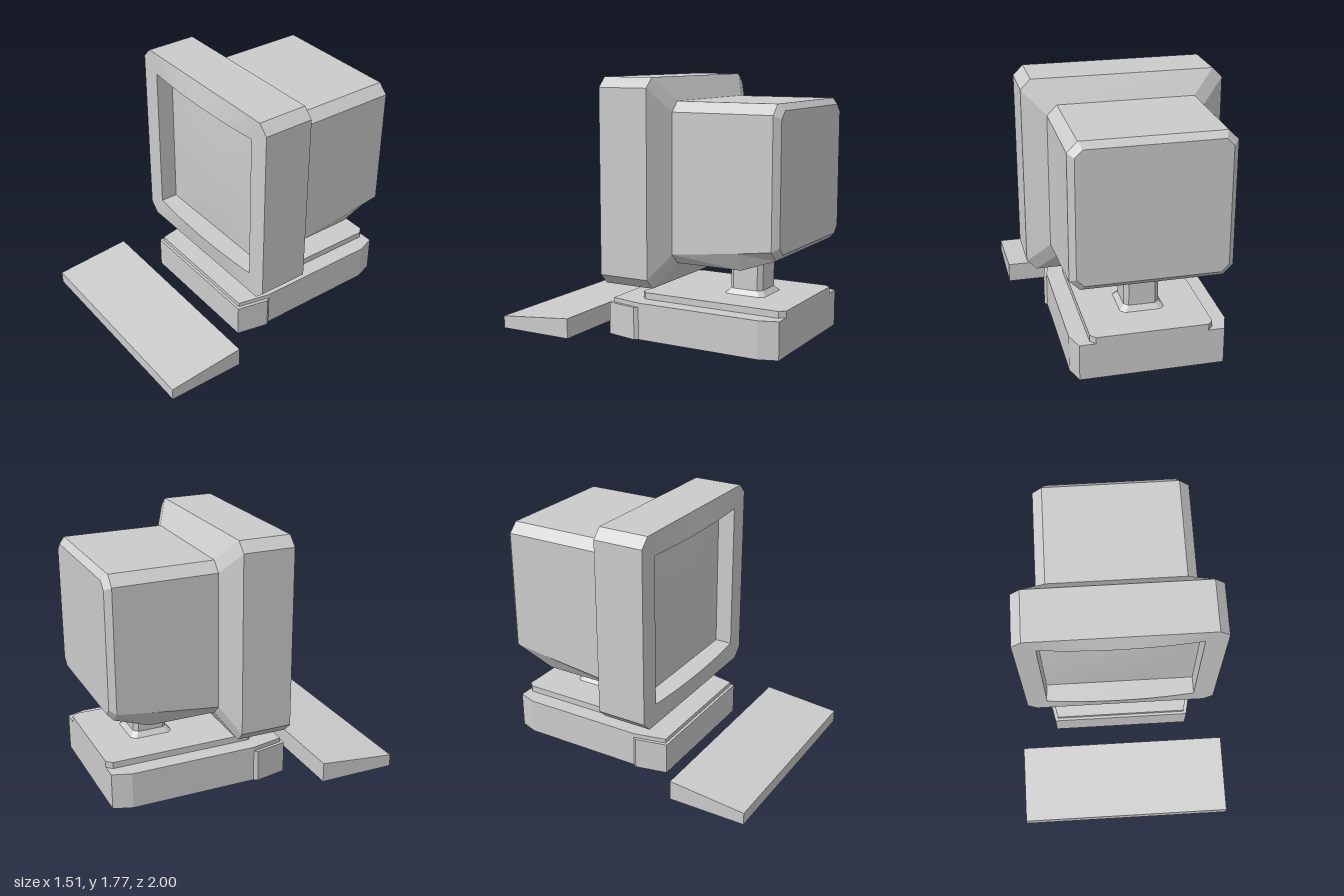
import * as THREE from 'three';

const material = new THREE.MeshStandardMaterial({ color: 0xcccccc });

function addMesh(parent, name, geometry) {
  const mesh = new THREE.Mesh(geometry, material);
  mesh.name = name;
  parent.add(mesh);
  return mesh;
}

// Octagonal section: half width x, from y0 to y1, top cut c, bottom cut cb
function octagon(x, y0, y1, c, z, cb = c) {
  return [
    [x, y0 + cb], [x, y1 - c], [x - c, y1], [c - x, y1],
    [-x, y1 - c], [-x, y0 + cb], [c - x, y0], [x - c, y0],
  ].map(([px, py]) => new THREE.Vector3(px, py, z));
}

// Skin over rings listed from front to back, counter-clockwise seen from the front
function loft(rings, { capStart = false, capEnd = false, smooth = false } = {}) {
  const n = rings[0].length;
  const index = [];
  for (let r = 0; r < rings.length - 1; r++) {
    for (let i = 0; i < n; i++) {
      const j = (i + 1) % n;
      const a = r * n + i, b = r * n + j, c = b + n, d = a + n;
      index.push(a, d, b, b, d, c);
    }
  }
  const last = (rings.length - 1) * n;
  for (let i = 1; i < n - 1; i++) {
    if (capStart) index.push(0, i, i + 1);
    if (capEnd) index.push(last, last + i + 1, last + i);
  }
  let geometry = new THREE.BufferGeometry().setFromPoints(rings.flat());
  geometry.setIndex(index);
  if (!smooth) geometry = geometry.toNonIndexed();
  geometry.computeVertexNormals();
  return geometry;
}

// Split the four long sides of an octagon into short steps
function subdivide(ring, steps = 16) {
  const points = [];
  for (let side = 0; side < 8; side += 2) {
    for (let i = 0; i <= steps; i++) {
      points.push(ring[side].clone().lerp(ring[side + 1], i / steps));
    }
  }
  return points;
}

// Upright slab from half of a plan outline given as [x, z], mirrored in x
function slab(half, y0, y1) {
  const mirrored = half.map(([x, z]) => [-x, z]).reverse();
  const shape = new THREE.Shape([...half, ...mirrored].map(([x, z]) => new THREE.Vector2(x, -z)));
  const geometry = new THREE.ExtrudeGeometry(shape, { depth: y1 - y0, bevelEnabled: false });
  return geometry.rotateX(-Math.PI / 2).translate(0, y0, 0);
}

function createMonitor() {
  const monitor = new THREE.Group();
  monitor.name = 'monitor';

  // Housing: deep front frame, taper, rear box with a rising underside
  addMesh(monitor, 'monitorHousing', loft([
    octagon(0.69, 0.395, 1.775, 0.068, 0.21),
    octagon(0.69, 0.395, 1.775, 0.068, -0.15),
    octagon(0.535, 0.55, 1.62, 0.068, -0.25),
    octagon(0.535, 0.55, 1.62, 0.068, -0.72, 0.121),
    octagon(0.535, 0.635, 1.62, 0.068, -0.96),
    octagon(0.495, 0.675, 1.578, 0.05, -1.0),
  ], { capEnd: true }));

  // Bezel: top and bottom lips bow forward in the middle
  const outer = subdivide(octagon(0.69, 0.395, 1.775, 0.068, 0.21));
  const inner = subdivide(octagon(0.54, 0.55, 1.62, 0, 0.21));
  inner.forEach((p) => { p.z += 0.025 * (1 - (p.x / 0.54) ** 2); });
  addMesh(monitor, 'bezel', loft([inner, outer], { smooth: true }));

  // Recess walls running back to the screen
  const deep = inner.map((p) => new THREE.Vector3(p.x, p.y, 0.085));
  addMesh(monitor, 'screenRecess', loft([deep, inner]));

  // Screen: gently domed
  const screen = new THREE.PlaneGeometry(1.08, 1.07, 16, 16);
  const pos = screen.attributes.position;
  for (let i = 0; i < pos.count; i++) {
    const u = pos.getX(i) / 0.54, v = pos.getY(i) / 0.535;
    pos.setZ(i, 0.02 * (1 - u * u) * (1 - v * v));
  }
  screen.computeVertexNormals();
  addMesh(monitor, 'screen', screen.translate(0, 1.085, 0.085));
  return monitor;
}

function createBase() {
  const base = new THREE.Group();
  base.name = 'base';
  addMesh(base, 'baseBody', slab(
    [[0.48, 0.25], [0.53, 0.02], [0.53, -0.87], [0.485, -1.0]], 0, 0.255));
  addMesh(base, 'baseFrontPanel', slab(
    [[0.5, 0.27], [0.548, 0.045], [0.53, 0.02]], 0, 0.225));
  addMesh(base, 'standPlate', slab(
    [[0.375, 0.07], [0.41, 0.035], [0.41, -0.96], [0.375, -1.0]], 0.255, 0.3));
  return base;
}

// Neck: eight-sided column flared at both ends
function createNeck() {
  const rings = [[0.15, 0.553], [0.12, 0.52], [0.12, 0.335], [0.15, 0.3]]
    .map(([r, y]) => octagon(r, -r, r, 0.03, y));
  const neck = loft(rings, { capStart: true, capEnd: true });
  return neck.rotateX(-Math.PI / 2).translate(0, 0, -0.582);
}

// Keyboard: wedge, lower at the front
function createKeyboard() {
  const wedge = new THREE.BoxGeometry(1.51, 0.14, 0.55).translate(0, 0.07, 0.725);
  const pos = wedge.attributes.position;
  for (let i = 0; i < pos.count; i++) {
    if (pos.getY(i) > 0.1 && pos.getZ(i) > 0.7) pos.setY(i, 0.087);
  }
  wedge.computeVertexNormals();
  return wedge;
}

export function createModel() {
  const model = new THREE.Group();
  model.name = 'desktopComputer';
  model.add(createMonitor(), createBase());
  addMesh(model, 'neck', createNeck());
  addMesh(model, 'keyboard', createKeyboard());
  return model;
}
